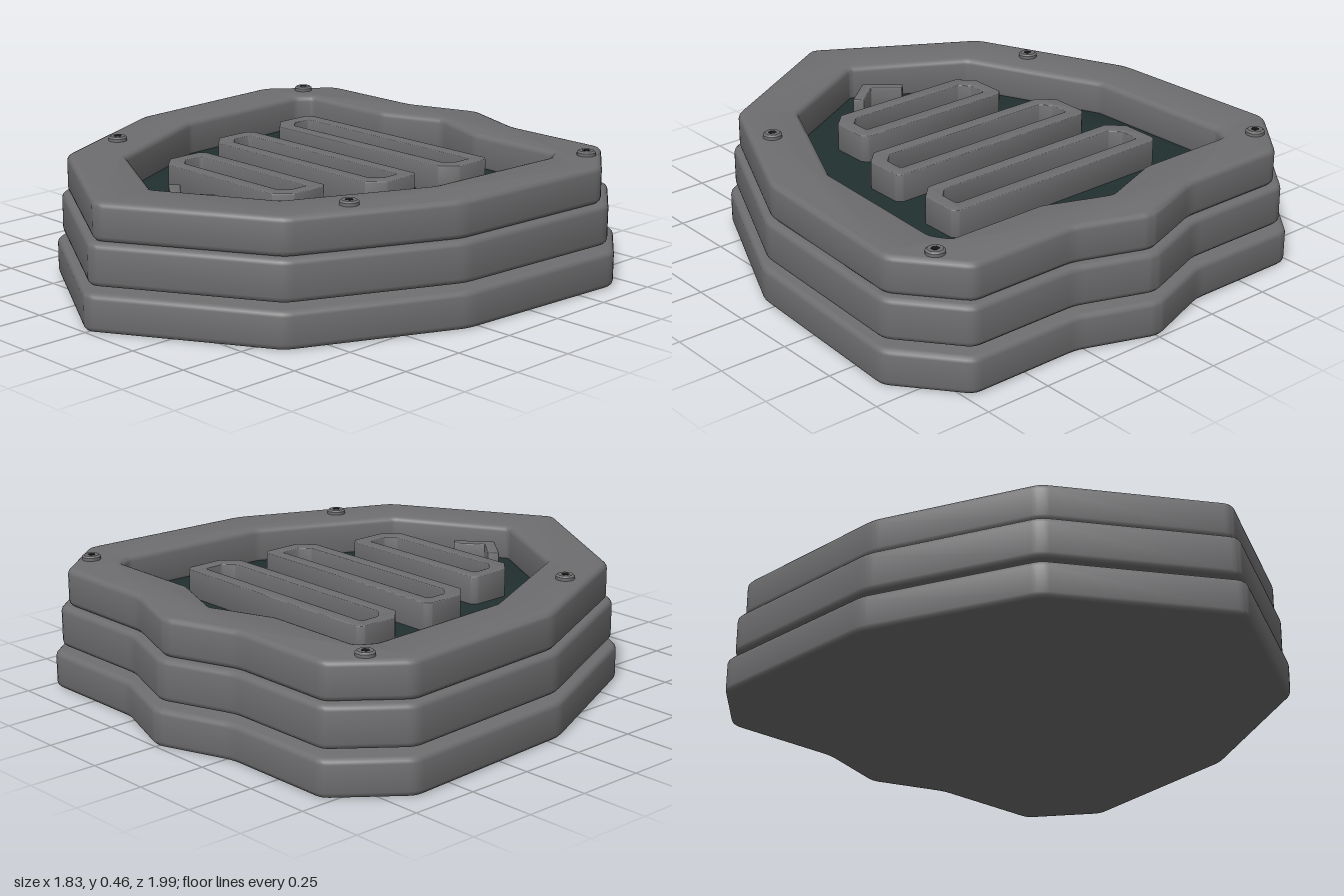
import * as THREE from 'three';
import { mergeVertices, toCreasedNormals } from 'three/addons/utils/BufferGeometryUtils.js';

const mat = (name, color) => new THREE.MeshStandardMaterial({ name, color });

// Mirror a right-hand run of points (top centre to bottom centre) into a closed outline
const mirrored = (half) => [
  ...half,
  ...half.filter(([x]) => x > 0).reverse().map(([x, z]) => [-x, z]),
];

// Trace points into a path, rounding every corner by r
function trace(path, points, r) {
  const v = points.map(([x, z]) => new THREE.Vector2(x, z));
  v.forEach((p, i) => {
    const toward = (q) => p.clone().add(q.clone().sub(p).setLength(r));
    const a = toward(v[(i + v.length - 1) % v.length]);
    const b = toward(v[(i + 1) % v.length]);
    if (i === 0) path.moveTo(a.x, a.y);
    else path.lineTo(a.x, a.y);
    path.quadraticCurveTo(p.x, p.y, b.x, b.y);
  });
  path.closePath();
  return path;
}

// Slab between two heights, with an optional hole and rounded edges
function slab(points, y0, y1, { hole, bevel = 0.02, round = 0.03, holeRound = 0.015 } = {}) {
  const shape = trace(new THREE.Shape(), points, round);
  if (hole) shape.holes.push(trace(new THREE.Path(), hole, holeRound));
  const geo = new THREE.ExtrudeGeometry(shape, {
    depth: y1 - y0 - 2 * bevel, curveSegments: 3,
    bevelEnabled: bevel > 0, bevelSize: bevel, bevelThickness: bevel, bevelOffset: -bevel, bevelSegments: 3,
  });
  geo.rotateX(Math.PI / 2).translate(0, y1 - bevel, 0);
  return toCreasedNormals(geo, 0.6);
}

// Thin plate whose normals are shared between the face and its rim
function softPlate(points, y0, y1) {
  const shape = new THREE.Shape(points.map(([x, z]) => new THREE.Vector2(x, z)));
  const geo = new THREE.ExtrudeGeometry(shape, { depth: y1 - y0, bevelEnabled: false });
  geo.rotateX(Math.PI / 2).translate(0, y1, 0);
  geo.deleteAttribute('normal');
  geo.deleteAttribute('uv');
  const merged = mergeVertices(geo);
  merged.computeVertexNormals();
  return merged;
}

// Bar outline with small back chamfers and larger front chamfers
const bar = (w, z0, z1, c0, c1) => mirrored([
  [w - c0, z0], [w, z0 + c0], [w, z1 - c1], [w - c1, z1],
]);

export function createModel() {
  const grey = mat('steel grey', 0x6e6e70);
  const green = mat('dark green', 0x223030);
  const orange = mat('amber', 0x8a4a06);
  const black = mat('socket black', 0x161618);

  const model = new THREE.Group();
  model.name = 'shield';
  const add = (name, geo, material, parent = model) => {
    const mesh = new THREE.Mesh(geo, material);
    mesh.name = name;
    parent.add(mesh);
    return mesh;
  };

  const outline = mirrored([
    [0, -1], [0.28, -0.9], [0.72, -0.9], [0.915, -0.66], [0.872, 0.05], [0.6, 0.65], [0, 1],
  ]);
  const opening = mirrored([
    [0, -0.75], [0.24, -0.66], [0.62, -0.66], [0.657, -0.6], [0.63, -0.02], [0.4, 0.48], [0, 0.7],
  ]);
  const scaled = (s) => outline.map(([x, z]) => [x * s, z * s]);

  // Stacked shield layers
  add('basePlate', slab(outline, 0, 0.135), grey);
  add('middlePlate', slab(scaled(0.977), 0.155, 0.305), grey);
  add('topRim', slab(scaled(0.952), 0.305, 0.442, { hole: opening }), grey);
  add('recessFloor', softPlate(opening, 0.295, 0.318), green);

  // Three framed light slots
  for (const [w, z] of [[0.465, -0.387], [0.435, -0.047], [0.325, 0.29]]) {
    const slot = new THREE.Group();
    slot.name = 'lightSlot';
    const inner = bar(w - 0.05, z - 0.055, z + 0.055, 0.008, 0.035);
    add('slotFrame', slab(bar(w, z - 0.106, z + 0.106, 0.02, 0.055), 0.31, 0.42,
      { hole: inner, bevel: 0.003, round: 0.003, holeRound: 0.003 }), grey, slot);
    add('slotLight', softPlate(inner, 0.31, 0.335), orange, slot);
    model.add(slot);
  }

  // Chevron near the lower tip
  const chevron = [[0, 0.57], [0.09, 0.495], [0.118, 0.525], [0, 0.622], [-0.118, 0.525], [-0.09, 0.495]];
  add('chevron', slab(chevron, 0.31, 0.4, { bevel: 0.003, round: 0.003 }), grey);

  // Hex-socket screws in the rim
  const head = [[0.034, 0], [0.034, 0.012], [0.027, 0.018], [0, 0.018]].map(([x, y]) => new THREE.Vector2(x, y));
  const headGeo = toCreasedNormals(new THREE.LatheGeometry(head, 20), 0.6);
  for (const [x, z] of [[0.73, -0.715], [0.6, 0.357]]) {
    for (const side of [1, -1]) {
      const screw = new THREE.Group();
      screw.name = 'screw';
      screw.position.set(side * x, 0.441, z);
      add('screwHead', headGeo, grey, screw);
      add('screwSocket', new THREE.CylinderGeometry(0.015, 0.015, 0.004, 6), black, screw).position.y = 0.017;
      model.add(screw);
    }
  }
  return model;
}
